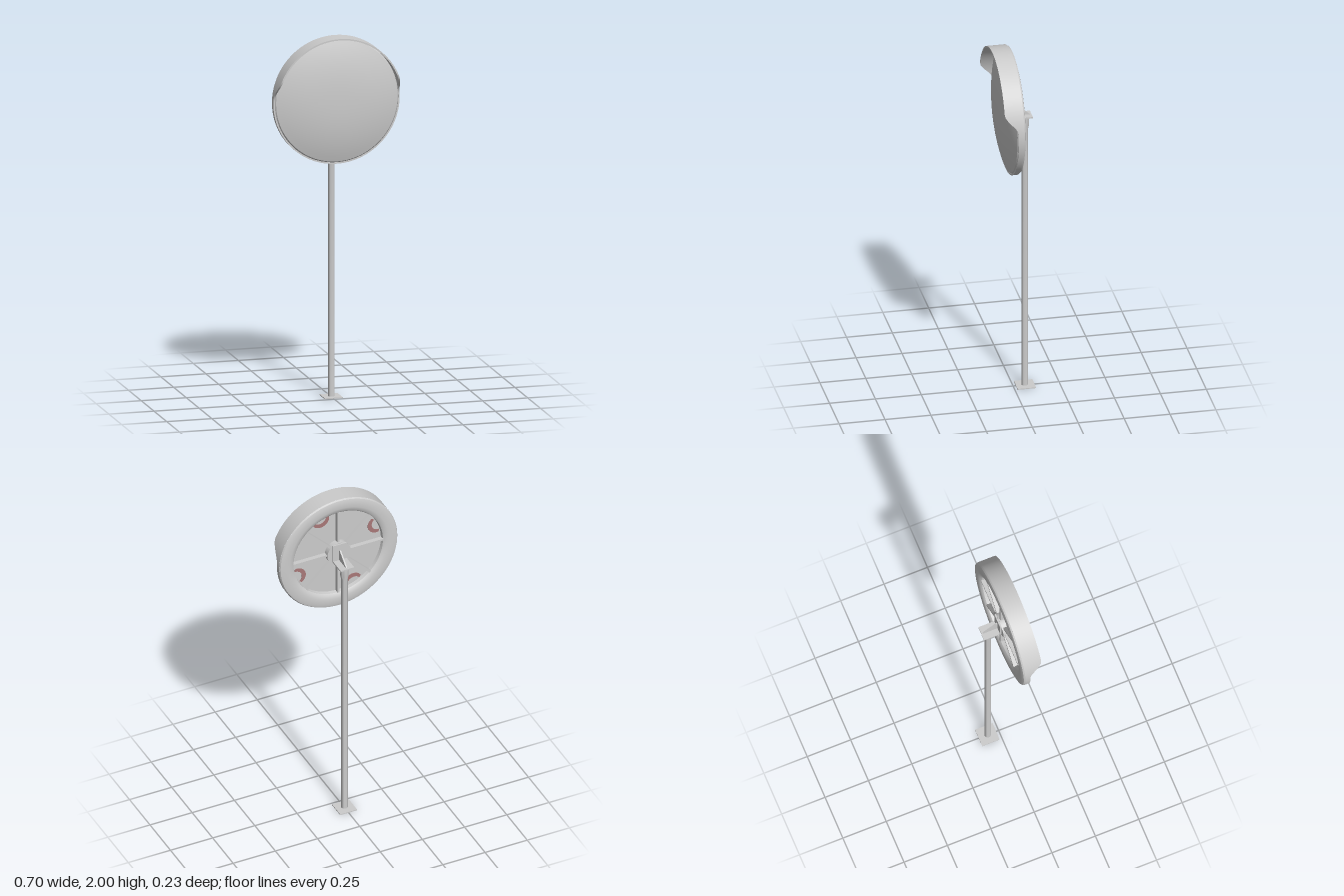
import * as THREE from 'three';
import { toCreasedNormals } from 'three/addons/utils/BufferGeometryUtils.js';

const CY = 1.65; // height of the mirror centre
const R = 0.35; // outer radius of the casing

// Solid of revolution about the z axis from [radius, z] points
function discLathe(points, segments = 80) {
  const geo = new THREE.LatheGeometry(points.map(([r, z]) => new THREE.Vector2(r, z)), segments);
  geo.rotateX(Math.PI / 2);
  return toCreasedNormals(geo, 0.6);
}

// Collar whose front edge sweeps forward over the upper half
function hoodGeometry(segments = 128) {
  const pos = [], index = [];
  for (let i = 0; i <= segments; i++) {
    const a = (i / segments) * Math.PI * 2, s = Math.sin(a), c = Math.cos(a);
    const edge = 0.04 + 0.073 * THREE.MathUtils.smoothstep(R * s, 0.02, 0.135);
    for (const [r, z] of [[R, 0.012], [R, edge], [R - 0.008, edge], [R - 0.008, 0.03]]) pos.push(r * c, r * s, z);
  }
  for (let i = 0; i < segments; i++) {
    for (let j = 0; j < 3; j++) {
      const a = i * 4 + j, b = a + 4;
      index.push(a, b, b + 1, a, b + 1, a + 1);
    }
  }
  const geo = new THREE.BufferGeometry();
  geo.setAttribute('position', new THREE.Float32BufferAttribute(pos, 3));
  geo.setIndex(index);
  return toCreasedNormals(geo, 0.6);
}

export function createModel() {
  const grey = new THREE.MeshStandardMaterial({ color: 0xcccccc });
  grey.name = 'light grey';
  const red = new THREE.MeshStandardMaterial({ color: 0xa87878 });
  red.name = 'dull red';

  const model = new THREE.Group();
  model.name = 'convexRoadMirror';
  const add = (parent, name, geo, mat, x = 0, y = 0, z = 0) => {
    const mesh = new THREE.Mesh(geo, mat);
    mesh.name = name;
    mesh.position.set(x, y, z);
    parent.add(mesh);
    return mesh;
  };

  const head = new THREE.Group();
  head.name = 'mirrorHead';
  head.position.y = CY;
  model.add(head);

  // Recessed back panel with rounded outer ring
  add(head, 'backShell', discLathe([
    [0, 0.032], [0.262, 0.032], [0.265, 0.012], [0.275, 0.004], [0.295, 0],
    [0.33, 0], [0.345, 0.004], [R, 0.012],
  ]), grey);
  add(head, 'hood', hoodGeometry(), grey);

  // Domed mirror face
  const dome = [[0.343, 0.036], [0.336, 0.045]];
  for (let i = 1; i <= 12; i++) {
    const r = 0.336 * (1 - i / 12);
    dome.push([r, 0.045 + 0.045 * (1 - (r / 0.336) ** 2.4)]);
  }
  add(head, 'mirrorFace', discLathe(dome), grey);

  // Hub and radial ribs on the back
  add(head, 'hub', discLathe([[0, 0], [0.07, 0], [0.07, 0.032]], 32), grey);
  for (let i = 0; i < 8; i++) {
    const a = (i * Math.PI) / 4;
    const rib = add(head, 'rib', new THREE.BoxGeometry(0.2, 0.012, 0.024), grey,
      0.166 * Math.cos(a), 0.166 * Math.sin(a), 0.02);
    rib.rotation.z = a;
  }

  // Crescent patches on every second panel, bulging towards the hub
  const crescent = new THREE.Shape();
  crescent.absarc(0, 0, 0.052, Math.PI * 0.55, Math.PI * 1.45, false);
  crescent.absarc(0.012, 0, 0.04, Math.PI * 1.4, Math.PI * 0.6, true);
  const crescentGeo = new THREE.ExtrudeGeometry(crescent, { depth: 0.003, bevelEnabled: false, curveSegments: 16 });
  for (let i = 0; i < 4; i++) {
    const a = Math.PI * (0.375 + i / 2);
    const patch = add(head, 'crescentPatch', crescentGeo, red,
      0.255 * Math.cos(a), 0.255 * Math.sin(a), 0.0295);
    patch.rotation.z = a;
  }

  // Mounting bracket: upright plate, shelf and gusset
  const bracket = new THREE.Group();
  bracket.name = 'bracket';
  model.add(bracket);
  add(bracket, 'uprightPlate', new THREE.BoxGeometry(0.08, 0.11, 0.008), grey, 0, 1.66, -0.004);
  add(bracket, 'shelf', new THREE.BoxGeometry(0.08, 0.008, 0.1), grey, 0, 1.609, -0.05);
  const side = new THREE.Shape([[0.004, 1.61], [0.09, 1.61], [0.09, 1.615], [0.014, 1.678], [0.004, 1.678]]
    .map(([x, y]) => new THREE.Vector2(x, y)));
  const gusset = new THREE.ExtrudeGeometry(side, { depth: 0.008, bevelEnabled: false });
  gusset.translate(0, 0, -0.004).rotateY(Math.PI / 2);
  add(bracket, 'gusset', gusset, grey);

  // Post with a wider socket at the top, standing on a thin foot
  const post = [[0.018, 0], [0.018, 1.525], [0.023, 1.55], [0.023, 1.605]];
  add(model, 'post', toCreasedNormals(
    new THREE.LatheGeometry(post.map(([r, y]) => new THREE.Vector2(r, y)), 24), 0.6), grey, 0, 0, -0.063);
  add(model, 'footPlate', new THREE.BoxGeometry(0.1, 0.005, 0.1), grey, 0, 0.0025, -0.065);

  return model;
}
